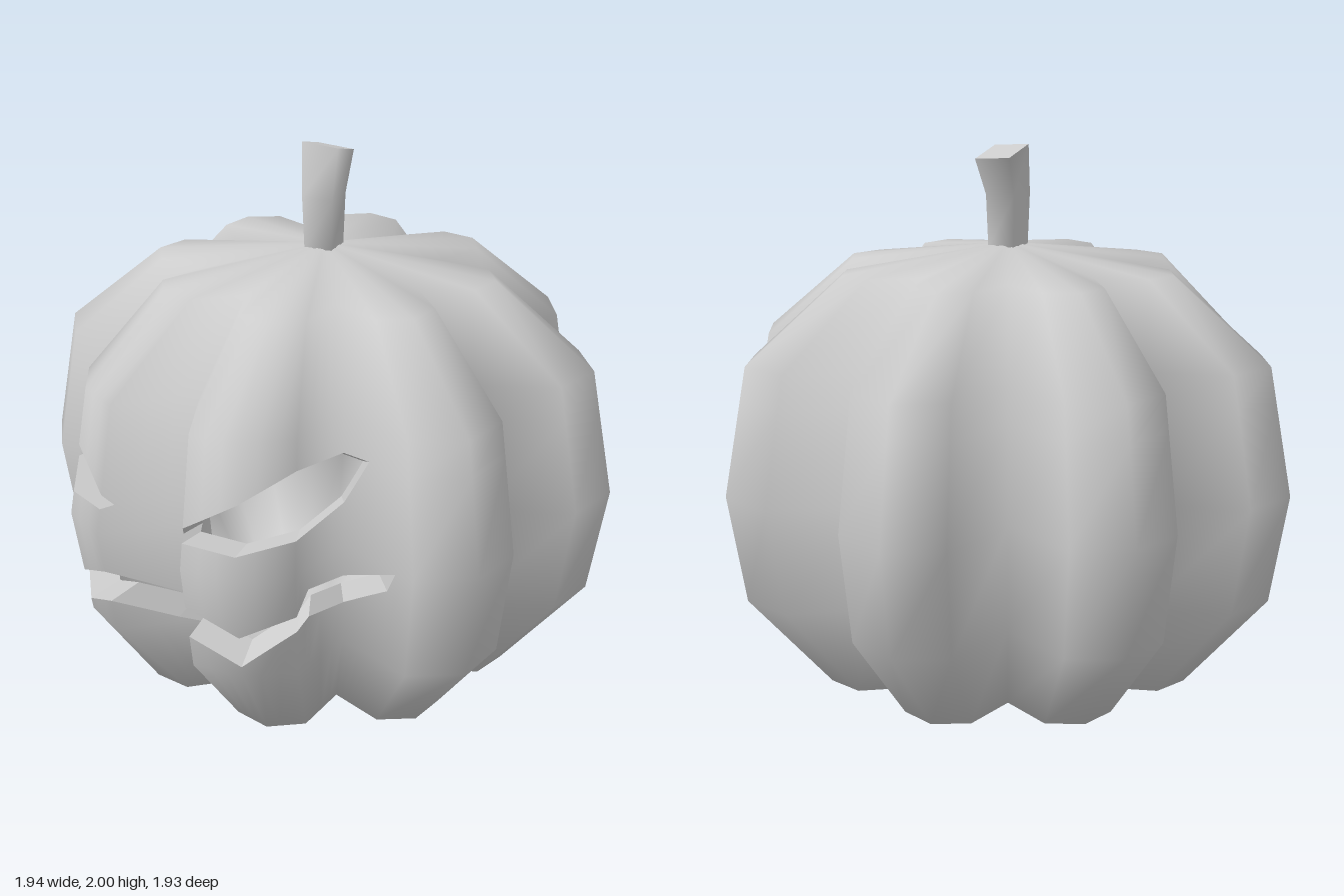
import * as THREE from 'three';

const LEVELS = [0, 0.09, 0.44, 0.83, 1.28, 1.57, 1.65];   // ring heights
const SCALE = [0, 0.655, 0.94, 1, 0.92, 0.585, 0];        // ring size at each height
const LOBE = [0.70, 0.98, 1.05, 0.98];                    // groove, shoulder, crest, shoulder
const CENTRE = new THREE.Vector3(0, 0.83, 0);
const SHELL = 0.88;                                       // inner skin size
const TOP = LEVELS[6];

// Carving outlines: [steps round from the front groove (32 per turn), height]
const EYE_LOW = [[0.85, 0.93], [1, 0.92], [2, 0.91], [3, 0.95], [4, 0.98], [4.4, 1.16]];
const EYE_HIGH = [[0.85, 0.93], [1, 0.97], [2, 1.08], [3, 1.18], [4, 1.15], [4.4, 1.16]];
const MOUTH_LOW = [[0, 0.42], [1, 0.56], [2, 0.48], [3, 0.61], [3.25, 0.64], [4, 0.6], [4.65, 0.74], [4.75, 0.82]];
const MOUTH_HIGH = [[0, 0.53], [1, 0.68], [2, 0.6], [3, 0.67], [3.25, 0.75], [4, 0.71], [4.75, 0.82]];

function heightAt(line, u) {
  const s = Math.abs(u);
  if (s <= line[0][0]) return line[0][1];
  for (let i = 1; i < line.length; i++) {
    const [a, ya] = line[i - 1], [b, yb] = line[i];
    if (s <= b) return ya + (yb - ya) * (s - a) / (b - a);
  }
  return line[line.length - 1][1];
}

// Corner of the ribbed body at step k, ring l
function corner(k, l) {
  const s = Math.abs(((k + 48) % 32) - 16);
  let r = LOBE[s % 4] * SCALE[l];
  if (l > 1 && l < 5 && (s === 2 || s === 3)) r *= 0.935; // face lobes are a little flatter
  const a = k * Math.PI / 16;
  return new THREE.Vector3(r * Math.sin(a), LEVELS[l], r * Math.cos(a));
}

function cornerNormal(k, l) {
  if (l === 0 || l === 6) return new THREE.Vector3(0, l ? 1 : -1, 0);
  const around = corner(k + 1, l).sub(corner(k - 1, l));
  const up = corner(k, l + 1).sub(corner(k, l - 1));
  return around.cross(up).normalize();
}

// Point and smooth normal anywhere on the body
function sample(u, y) {
  const k = Math.floor(u), f = u - k;
  let l = 0;
  while (l < 5 && y > LEVELS[l + 1]) l++;
  const t = (y - LEVELS[l]) / (LEVELS[l + 1] - LEVELS[l]);
  const mix = fn => fn(k, l).lerp(fn(k + 1, l), f).lerp(fn(k, l + 1).lerp(fn(k + 1, l + 1), f), t);
  return { p: mix(corner), n: mix(cornerNormal).normalize() };
}

const inward = p => p.clone().sub(CENTRE).multiplyScalar(SHELL).add(CENTRE);

// Collects quads and turns them into a mesh
function quadBuilder(name, material) {
  const pos = [], nor = [];
  return {
    add(points, normals) {
      for (const i of [0, 1, 2, 0, 2, 3]) {
        pos.push(...points[i].toArray());
        if (normals) nor.push(...normals[i].toArray());
      }
    },
    mesh() {
      const g = new THREE.BufferGeometry();
      g.setAttribute('position', new THREE.Float32BufferAttribute(pos, 3));
      if (nor.length) g.setAttribute('normal', new THREE.Float32BufferAttribute(nor, 3));
      else g.computeVertexNormals();
      const m = new THREE.Mesh(g, material);
      m.name = name;
      return m;
    }
  };
}

// Steps round the body, refined where the face is carved
function columns() {
  const marks = [0, 0.85, 1, 2, 3, 3.25, 4, 4.4, 4.65, 4.75, 5];
  const half = [];
  for (let i = 0; i < marks.length - 1; i++) {
    for (let j = 0; j < 3; j++) half.push(marks[i] + (marks[i + 1] - marks[i]) * j / 3);
  }
  for (let s = 5; s <= 16; s++) half.push(s);
  return [...half.slice(1).reverse().map(s => -s), ...half];
}

function buildBody(material) {
  const skin = quadBuilder('outerSkin', material);
  const inside = quadBuilder('innerSkin', material);
  const cuts = quadBuilder('carvedEdges', material);
  const line = pts => u => heightAt(pts, u);
  const bands = [
    [() => 0, line(MOUTH_LOW)],
    [line(MOUTH_HIGH), line(EYE_LOW)],
    [line(EYE_HIGH), () => TOP]
  ];
  const us = columns();

  for (let c = 0; c < us.length - 1; c++) {
    const ends = [us[c], us[c + 1]];
    bands.forEach(([low, high], b) => {
      // Outer and inner skins, rings clamped to the carved outline
      const rows = LEVELS.map(y => ends.map(u => sample(u, Math.min(Math.max(y, low(u)), high(u)))));
      for (let l = 0; l < 6; l++) {
        const q = [rows[l][0], rows[l][1], rows[l + 1][1], rows[l + 1][0]];
        if (q[0].p.y === q[3].p.y && q[1].p.y === q[2].p.y) continue;
        skin.add(q.map(v => v.p), q.map(v => v.n));
        q.reverse();
        inside.add(q.map(v => inward(v.p)), q.map(v => v.n.clone().negate()));
      }
      // Wall thickness along the opening above this band
      if (b === 2) return;
      const next = bands[b + 1][0];
      if (ends.every(u => next(u) - high(u) < 1e-4)) return;
      const [l0, l1] = ends.map(u => sample(u, high(u)).p);
      const [h0, h1] = ends.map(u => sample(u, next(u)).p);
      cuts.add([l0, l1, inward(l1), inward(l0)]);
      cuts.add([inward(h0), inward(h1), h1, h0]);
    });
  }
  const body = new THREE.Group();
  body.name = 'pumpkinBody';
  body.add(skin.mesh(), inside.mesh(), cuts.mesh());
  return body;
}

// Square stalk, bent back and tilted at the tip
function buildStem(material) {
  const g = new THREE.CylinderGeometry(0.08, 0.08, 1, 4, 2);
  g.rotateY(-0.52);
  const p = g.attributes.position;
  for (let i = 0; i < p.count; i++) {
    const h = p.getY(i) + 0.5, x = p.getX(i), z = p.getZ(i);
    if (h > 0.9) p.setXYZ(i, x * 1.2 - 0.035, 1.975 + z * 0.33, z * 1.2 - 0.065);
    else p.setXYZ(i, x * (h < 0.1 ? 0.9 : 1), h < 0.1 ? 1.63 : 1.82, z * (h < 0.1 ? 0.9 : 1));
  }
  g.computeVertexNormals();
  const stem = new THREE.Mesh(g, material);
  stem.name = 'stem';
  return stem;
}

export function createModel() {
  const material = new THREE.MeshStandardMaterial({ color: 0xcccccc });
  const model = new THREE.Group();
  model.name = 'carvedPumpkin';
  model.add(buildBody(material), buildStem(material));
  return model;
}
